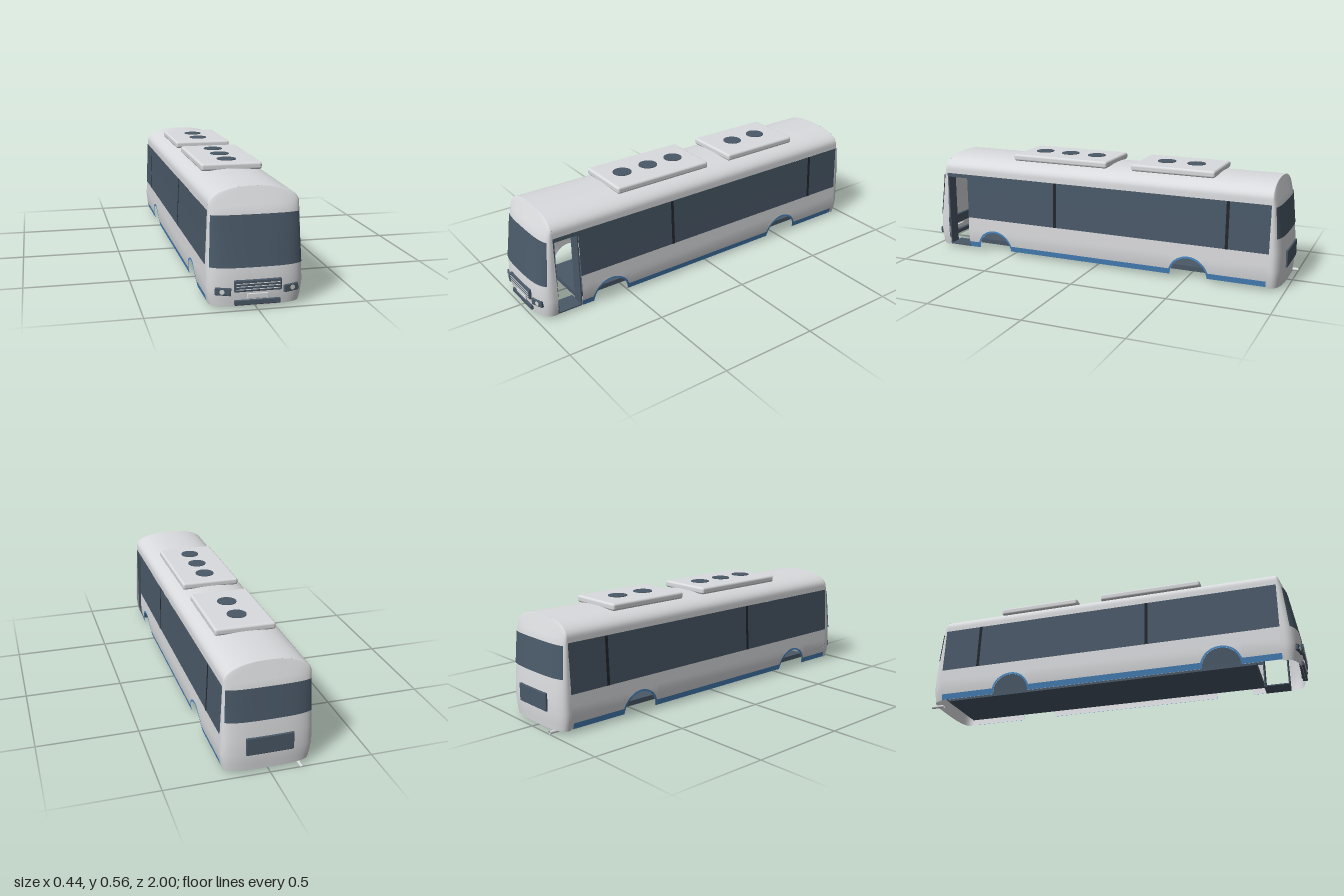
import * as THREE from 'three';
import { RoundedBoxGeometry } from 'three/addons/geometries/RoundedBoxGeometry.js';

const mat = (name, color) => {
  const m = new THREE.MeshStandardMaterial({ color, side: THREE.DoubleSide });
  m.name = name;
  return m;
};

// Piecewise linear lookup in a short list of [y, value]
function lookup(list, y) {
  for (let i = 1; i < list.length; i++) {
    const [y0, v0] = list[i - 1], [y1, v1] = list[i];
    if (y <= y1) return v0 + (v1 - v0) * Math.max(0, (y - y0) / (y1 - y0));
  }
  return list[list.length - 1][1];
}

// Half width of the body at height y: bulged sides, then a domed roof
const SIDE = [[0.015, 0.205], [0.05, 0.213], [0.1, 0.219], [0.19, 0.216], [0.3, 0.211], [0.45, 0.205]];
const P = 2.3, SPRING = 0.45, CROWN = 0.53;
function halfWidth(y) {
  if (y <= SPRING) return lookup(SIDE, y);
  const t = Math.min(1, (y - SPRING) / (CROWN - SPRING));
  return 0.205 * Math.pow(1 - Math.pow(t, P), 1 / P);
}
const roofY = (a) => SPRING + (CROWN - SPRING) * Math.pow(Math.sin(a), 2 / P);

// Nose and tail: where the cap starts, and its profile on the centre line
const FRONT = { base: 0.9, profile: [[0.015, 0.982], [0.1, 0.99], [0.19, 0.985], [0.42, 0.945], [0.53, 0.9]] };
const BACK = { base: -0.92, profile: [[0.015, -0.98], [0.1, -0.987], [0.19, -0.984], [0.42, -0.955], [0.53, -0.92]] };
const N = 3;
function capPoint(end, r, y, offset = 0) {
  const k = Math.pow(Math.max(0, 1 - Math.pow(Math.abs(r), N)), 1 / N);
  const z = end.base + (lookup(end.profile, y) - end.base) * k;
  return [r * (halfWidth(y) + offset), y, z + Math.sign(end.base) * offset];
}

// Surface from a grid of points; flip reverses the facing
function grid(nu, nv, fn, flip = false) {
  const pos = [], idx = [];
  for (let j = 0; j <= nv; j++) for (let i = 0; i <= nu; i++) pos.push(...fn(i / nu, j / nv, i, j));
  for (let j = 0; j < nv; j++) for (let i = 0; i < nu; i++) {
    const a = j * (nu + 1) + i, b = a + 1, c = a + nu + 1, d = c + 1;
    if (flip) idx.push(a, c, b, b, c, d);
    else idx.push(a, b, c, b, d, c);
  }
  const g = new THREE.BufferGeometry();
  g.setAttribute('position', new THREE.Float32BufferAttribute(pos, 3));
  g.setIndex(idx);
  g.computeVertexNormals();
  return g;
}

// Wheel arches
const SKIRT = 0.02, ARCHES = [0.605, -0.515], R_HOLE = 0.097, R_TRIM = 0.107;
const archY = (z, r) => Math.max(0, ...ARCHES.map((c) =>
  Math.abs(z - c) < r ? SKIRT + Math.sqrt(r * r - (z - c) ** 2) : 0));
const wallBottom = (z) => Math.max(SKIRT, archY(z, R_HOLE));
const trimTop = (z) => Math.max(0.05, archY(z, R_TRIM));

// Stations along z, dense over the arches
function stations(z0, z1) {
  const zs = [z0, z1];
  for (const c of ARCHES) for (const r of [R_HOLE, R_TRIM]) for (let i = 0; i <= 24; i++) {
    zs.push(c + r * Math.cos(Math.PI * i / 24));
  }
  return zs.filter((z) => z >= z0 && z <= z1).sort((a, b) => a - b);
}

// Side panel between two height functions, following the bulge of the body
function sidePanel(s, zs, bottom, top, offset = 0, rows = 6) {
  return grid(zs.length - 1, rows, (u, v, i) => {
    const z = zs[i], y = bottom(z) + (top(z) - bottom(z)) * v;
    return [s * (halfWidth(y) + offset), y, z];
  }, s > 0);
}

export function createModel() {
  const bus = new THREE.Group();
  bus.name = 'bus';
  const paint = mat('bodyPaint', 0xdadbde);
  const dark = mat('darkGlass', 0x4a5968);
  const blue = mat('blueTrim', 0x4a89c4);
  const black = mat('blackPillar', 0x23282e);
  const lens = mat('lampLens', 0xd6d9d4);

  const add = (name, geo, m, x = 0, y = 0, z = 0, parent = bus) => {
    const mesh = new THREE.Mesh(geo, m);
    mesh.name = name;
    mesh.position.set(x, y, z);
    parent.add(mesh);
    return mesh;
  };
  const rbox = (w, h, d, r) => new RoundedBoxGeometry(w, h, d, 3, r);
  const c = (v) => () => v;

  // Roof shell, one smooth arch from window top to window top
  const W0 = 0.43, arc = 16;
  const roofSection = [[halfWidth(W0), W0]];
  for (let i = 0; i <= 2 * arc; i++) {
    const a = Math.PI * i / (2 * arc), y = roofY(Math.min(a, Math.PI - a));
    roofSection.push([Math.sign(Math.cos(a)) * (i === arc ? 0 : halfWidth(y)), y]);
  }
  roofSection.push([-halfWidth(W0), W0]);
  add('roof', grid(roofSection.length - 1, 1, (u, v, i) =>
    [...roofSection[i], BACK.base + (FRONT.base - BACK.base) * v], true), paint);

  // Side walls, windows and blue skirt trim; the doorway is on the left
  const DOOR = 0.768;
  for (const s of [1, -1]) {
    const side = s > 0 ? 'left' : 'right';
    const zEnd = s > 0 ? DOOR : FRONT.base;
    const zs = stations(BACK.base, zEnd);
    add(side + 'Wall', sidePanel(s, zs, wallBottom, c(0.19)), paint);
    add(side + 'SkirtTrim', sidePanel(s, stations(-0.91, zEnd), wallBottom, trimTop, 0.002, 3), blue);
    add(side + 'Windows', sidePanel(s, [BACK.base, zEnd], c(0.19), c(W0), 0.002), dark);
    for (const z of [0.23, -0.71]) {
      add(side + 'WindowPillar', sidePanel(s, [z - 0.008, z + 0.008], c(0.19), c(W0), 0.004), black);
    }
    for (const z of [0.7, 0.47, 0, -0.24, -0.48]) {
      add(side + 'WindowSeam', sidePanel(s, [z - 0.002, z + 0.002], c(0.19), c(W0), 0.003), dark);
    }
  }

  // Doorway: header strip, folded door leaves and step
  add('doorHeader', sidePanel(1, [DOOR, FRONT.base], c(0.41), c(W0), 0.002, 1), dark);
  for (const z of [DOOR + 0.003, FRONT.base - 0.004]) {
    add('doorLeaf', new THREE.BoxGeometry(0.065, 0.385, 0.006), dark, 0.174, 0.217, z);
  }
  add('doorStep', new THREE.BoxGeometry(0.1, 0.006, 0.13), dark, 0.155, 0.021, 0.834);

  // Floor slab
  add('floor', new THREE.BoxGeometry(0.31, 0.025, 1.67), dark, 0, 0.043, -0.067);

  // Nose and tail caps with wraparound glass
  const capYs = SIDE.map((p) => p[0]);
  capYs.splice(5, 0, 0.36, 0.42);
  for (let i = 1; i <= 14; i++) capYs.push(roofY(Math.PI / 2 * i / 14));
  const across = (u) => {
    const k = Math.cos(Math.PI * (1 - u));
    return Math.sign(k) * Math.pow(Math.abs(k), 2 / N);
  };
  const ends = [['front', FRONT, 0.19, 0.415, false], ['rear', BACK, 0.265, 0.42, true]];
  for (const [name, end, y0, y1, flip] of ends) {
    add(name + 'Cap', grid(48, capYs.length - 1, (u, v, i, j) => capPoint(end, across(u), capYs[j]), flip), paint);
    add(name + 'Windscreen', grid(40, 6, (u, v) =>
      capPoint(end, 0.95 * Math.sin((u - 0.5) * Math.PI), y0 + (y1 - y0) * v, 0.003), flip), dark);
  }

  // Front grille with bright bars, number plate and lower intake
  add('grille', rbox(0.212, 0.052, 0.024, 0.004), dark, 0, 0.11, 0.986);
  for (const y of [0.121, 0.108, 0.095]) {
    add('grilleBar', new THREE.BoxGeometry(0.196, 0.003, 0.004), paint, 0, y, 0.998);
  }
  add('frontPlate', rbox(0.096, 0.023, 0.016, 0.003), paint, 0, 0.062, 0.985);
  add('lowerIntake', rbox(0.206, 0.024, 0.024, 0.004), dark, 0, 0.033, 0.98);

  // Headlights
  for (const s of [1, -1]) {
    const lamp = new THREE.Group();
    lamp.name = s > 0 ? 'leftHeadlight' : 'rightHeadlight';
    lamp.position.set(s * 0.152, 0.086, 0.976);
    lamp.rotation.set(0, s * 0.28, s * 0.05);
    add('lampHousing', rbox(0.071, 0.034, 0.02, 0.004), dark, 0, 0, 0, lamp);
    const disc = add('lampLens', new THREE.CylinderGeometry(0.011, 0.011, 0.004, 24), lens, s * 0.004, 0, 0.01, lamp);
    disc.rotation.x = Math.PI / 2;
    bus.add(lamp);
  }

  // Rear vent panel and exhaust
  add('rearPanel', rbox(0.226, 0.088, 0.024, 0.004), dark, 0, 0.143, -0.98);
  const pipe = add('exhaust', new THREE.CylinderGeometry(0.008, 0.008, 0.07, 20, 1, true), paint, -0.147, 0.009, -0.965);
  pipe.rotation.x = Math.PI / 2;

  // Roof air units with fan discs
  const units = [[-0.04, 0.506, [0.08, 0.235, 0.39]], [-0.62, -0.176, [-0.48, -0.32]]];
  for (const [z0, z1, fans] of units) {
    add('roofUnit', rbox(0.3, 0.036, z1 - z0, 0.012), paint, 0, 0.538, (z0 + z1) / 2);
    for (const z of fans) add('fan', new THREE.CylinderGeometry(0.048, 0.048, 0.006, 32), dark, 0, 0.556, z);
  }
  return bus;
}
